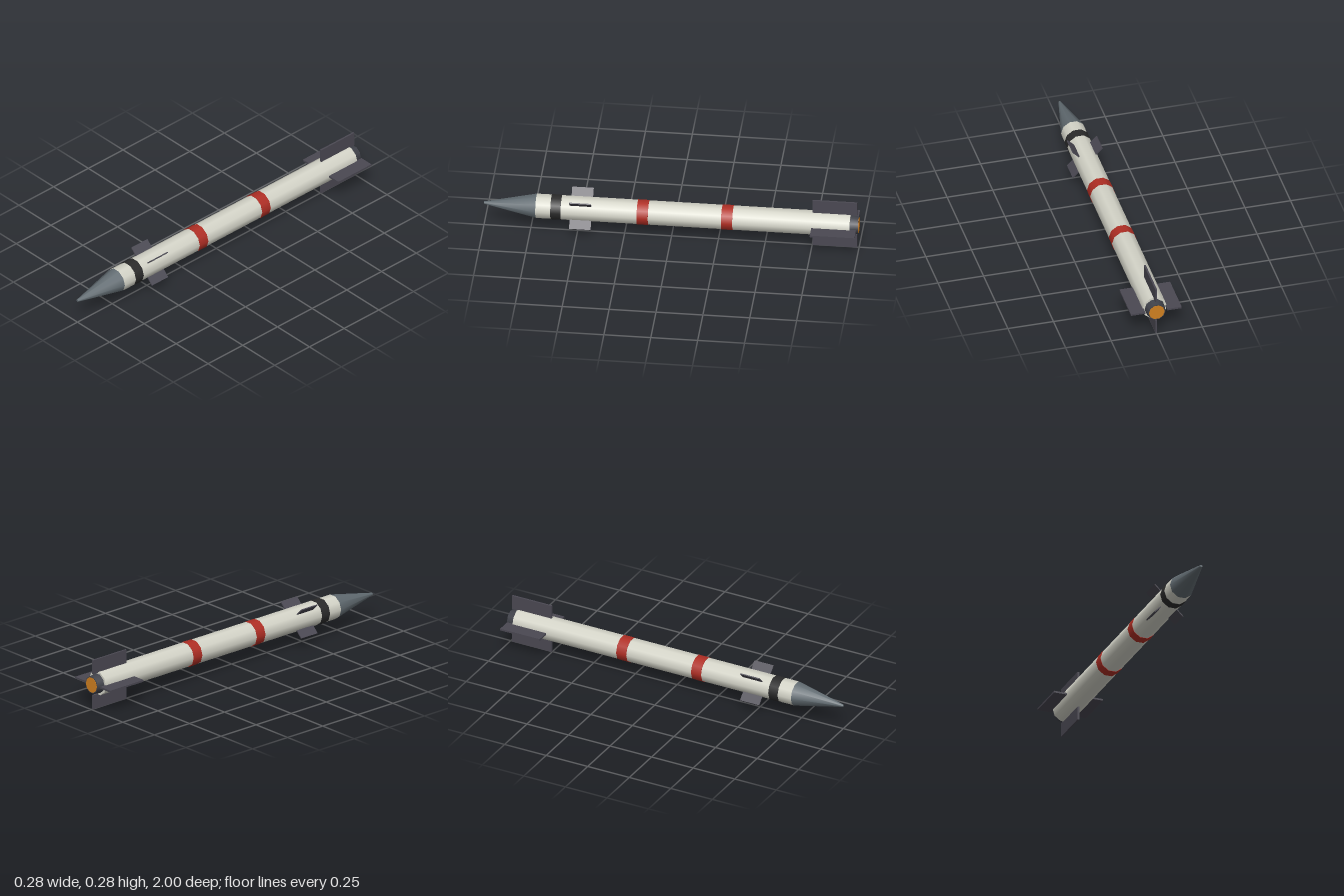
import * as THREE from 'three';

const AXIS_Y = 0.139;
const SIDES = 10;

function paint(name, color) {
  const m = new THREE.MeshStandardMaterial({ color });
  m.name = name;
  return m;
}

export function createModel() {
  const paints = {
    body: paint('bodyWhite', 0xd4d4c8),
    nose: paint('noseGrey', 0x626c72),
    red: paint('bandRed', 0xb02e24),
    black: paint('bandBlack', 0x2a2a2a),
    fin: paint('finGrey', 0x4a4852),
    nozzle: paint('nozzleGrey', 0x40424a),
    glow: paint('exhaustOrange', 0xd08020),
  };

  const model = new THREE.Group();
  model.name = 'missile';
  const axis = new THREE.Group();
  axis.name = 'airframe';
  axis.position.y = AXIS_Y;
  model.add(axis);

  // Ten-sided smooth section between two z positions, flat facets up and down
  function section(name, zBack, zFront, rBack, rFront, material) {
    const geo = new THREE.CylinderGeometry(rFront, rBack, zFront - zBack, SIDES, 1, false, Math.PI / 2);
    geo.rotateX(Math.PI / 2);
    const mesh = new THREE.Mesh(geo, material);
    mesh.name = name;
    mesh.position.z = (zBack + zFront) / 2;
    axis.add(mesh);
  }

  // Four plates set around the axis
  function finSet(name, startAngle, rIn, rOut, thickness, zBack, zFront) {
    const geo = new THREE.BoxGeometry(rOut - rIn, thickness, zFront - zBack);
    geo.translate((rIn + rOut) / 2, 0, (zBack + zFront) / 2);
    for (let i = 0; i < 4; i++) {
      const fin = new THREE.Mesh(geo, paints.fin);
      fin.name = name + (i + 1);
      fin.rotation.z = startAngle + i * Math.PI / 2;
      axis.add(fin);
    }
  }

  // Body and nose
  section('body', -0.955, 0.72, 0.067, 0.067, paints.body);
  section('noseCone', 0.72, 1, 0.067, 0.007, paints.nose);

  // Painted bands
  section('frontBand', 0.585, 0.64, 0.069, 0.069, paints.black);
  section('middleBand', 0.12, 0.18, 0.069, 0.069, paints.red);
  section('rearBand', -0.33, -0.27, 0.069, 0.069, paints.red);

  // Nozzle and exhaust disc
  section('nozzle', -0.998, -0.955, 0.048, 0.055, paints.nozzle);
  section('exhaust', -1, -0.996, 0.043, 0.043, paints.glow);

  // Tail fins upright and level, front fins on the diagonals
  finSet('tailFin', 0, 0.06, 0.139, 0.01, -0.99, -0.752);
  finSet('frontFin', Math.PI / 4, 0.055, 0.115, 0.006, 0.423, 0.538);

  return model;
}
